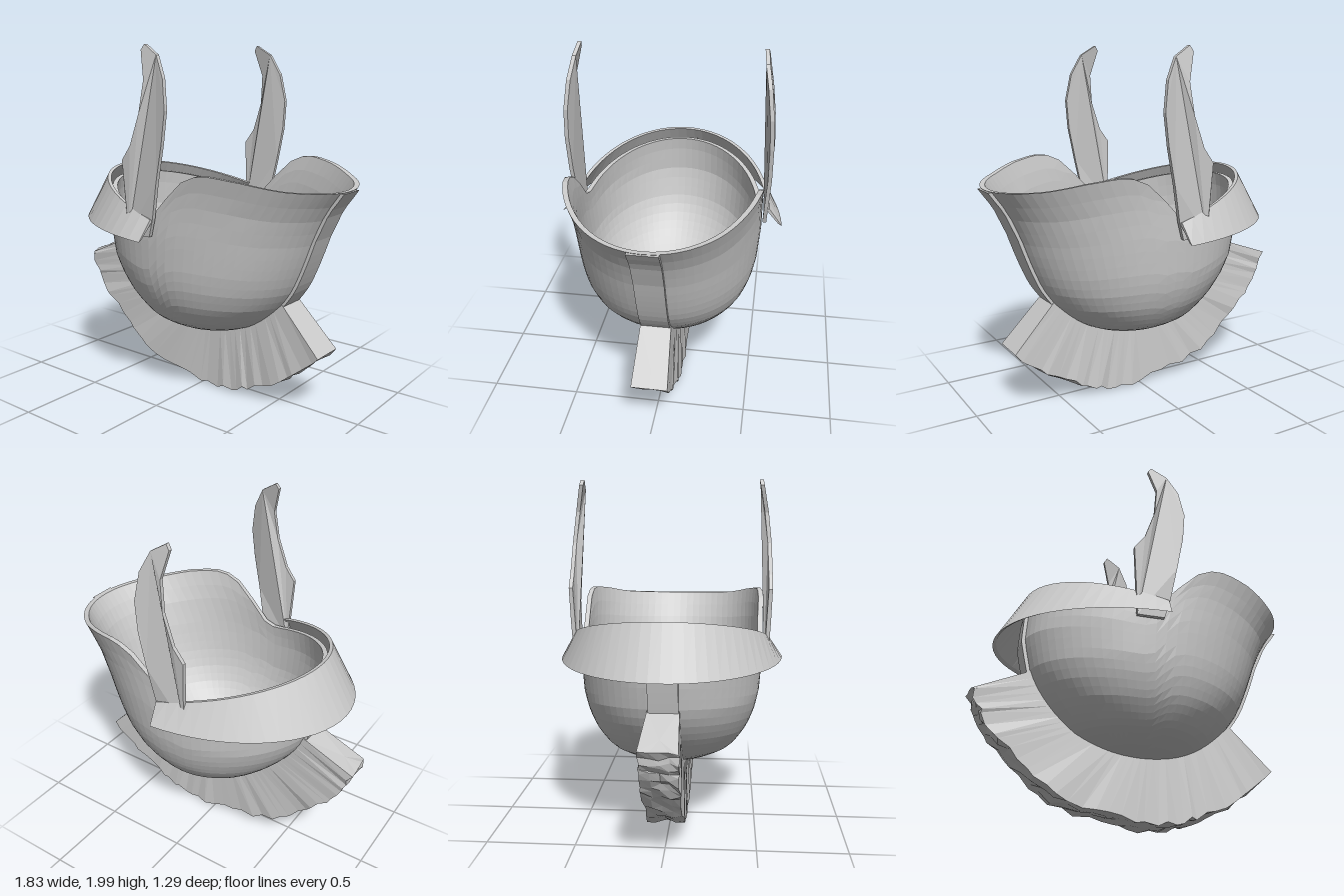
import * as THREE from 'three';

// Piecewise-linear lookup in rows sorted by their first value
function lookup(rows, k, col = 1) {
  let i = 1;
  while (i < rows.length - 1 && k > rows[i][0]) i++;
  const a = rows[i - 1], b = rows[i];
  const f = THREE.MathUtils.clamp((k - a[0]) / (b[0] - a[0]), 0, 1);
  return a[col] + (b[col] - a[col]) * f;
}

// Grid surface from fn(i, j) => [x, y, z]
function grid(nu, nv, fn) {
  const pos = [], idx = [], row = nv + 1;
  for (let i = 0; i <= nu; i++) for (let j = 0; j <= nv; j++) pos.push(...fn(i, j));
  for (let i = 0; i < nu; i++) for (let j = 0; j < nv; j++) {
    const a = i * row + j, b = a + row;
    idx.push(a, b, b + 1, a, b + 1, a + 1);
  }
  const g = new THREE.BufferGeometry();
  g.setAttribute('position', new THREE.Float32BufferAttribute(pos, 3));
  g.setIndex(idx);
  g.computeVertexNormals();
  return g;
}

// Closed sections joined along their length, ends closed by a fan to the middle
function loft(sections) {
  const mid = (s) => s.map(() => [0, 1, 2].map((k) => s.reduce((t, p) => t + p[k], 0) / s.length));
  const all = [mid(sections[0]), ...sections, mid(sections[sections.length - 1])];
  const n = sections[0].length;
  return grid(all.length - 1, n, (i, j) => all[i][j % n]);
}

const curve = (pts) => new THREE.CatmullRomCurve3(pts.map((p) => new THREE.Vector3(p[0], p[1], 0)));

// Bowl widths: height, left edge x, right edge x, half depth
const BOTTOM = 0.37, SPAN = 0.99;
const toS = (y) => Math.sqrt(Math.max(0, (y - BOTTOM) / SPAN));
const WIDTHS = [
  [0.37, 0.05, 0.05, 0], [0.39, -0.13, 0.23, 0.17], [0.43, -0.25, 0.34, 0.285],
  [0.48, -0.35, 0.42, 0.37], [0.6, -0.48, 0.555, 0.455], [0.7, -0.555, 0.625, 0.493],
  [0.8, -0.607, 0.67, 0.515], [1.0, -0.65, 0.745, 0.53], [1.15, -0.64, 0.815, 0.53],
  [1.25, -0.625, 0.89, 0.532], [1.36, -0.6, 0.96, 0.545],
].map(([y, ...r]) => [toS(y), ...r]);
// Rim height against the cosine of the angle round the bowl
const RIM = [
  [-1, 1.23], [-0.2, 1.085], [-0.1, 1.09], [-0.03, 1.17], [0.05, 1.28], [0.11, 1.33],
  [0.21, 1.355], [0.3, 1.352], [0.5, 1.33], [0.75, 1.29], [1, 1.265],
];

function bowlGeometry() {
  const nu = 72, nt = 22, wall = 0.028;
  return grid(nu, nt * 2 + 1, (i, j) => {
    const a = (i / nu) * Math.PI * 2, c = Math.cos(a);
    const inner = j > nt;
    const t = (inner ? nt * 2 + 1 - j : j) / nt;
    const y = BOTTOM + (lookup(RIM, c) - BOTTOM) * t * t;
    const s = toS(y), d = inner ? wall : 0;
    const l = lookup(WIDTHS, s, 1), r = lookup(WIDTHS, s, 2);
    const rx = Math.max(0, (r - l) / 2 - d), rz = Math.max(0, lookup(WIDTHS, s, 3) - d);
    return [(l + r) / 2 + rx * c, y + d * (1 - t), -rz * Math.sin(a)];
  });
}

// Raised centre strip on one end of the bowl
function stripGeometry(col, dir, y0, y1) {
  const n = 16, sections = [];
  for (let i = 0; i <= n; i++) {
    const y = y0 + ((y1 - y0) * i) / n;
    const x = lookup(WIDTHS, toS(y), col);
    const o = x + dir * 0.012, k = x - dir * 0.02, w = 0.08 * dir;
    sections.push([[o, y, w], [k, y, w], [k, y, -w], [o, y, -w]].reverse());
  }
  return loft(sections);
}

// Sloping band round the low half of the rim
function brimGeometry() {
  const n = 32, start = 1.648, sections = [];
  for (let i = 0; i <= n; i++) {
    const a = start + ((Math.PI * 2 - 2 * start) * i) / n;
    const c = Math.cos(a), s = -Math.sin(a), f = (-c - 0.077) / 0.923;
    const yLow = 0.99 + 0.02 * f, yTop = 1.1 + 0.19 * f, d = 0.02;
    sections.push([
      [0.1 + 0.91 * c, yLow, 0.648 * s],
      [0.1 + 0.75 * c, yTop, 0.572 * s],
      [0.1 + (0.75 - d) * c, yTop - 0.004, (0.572 - d) * s],
      [0.1 + (0.91 - d) * c, yLow + 0.012, (0.648 - d) * s],
    ]);
  }
  return loft(sections);
}

// Thick crest below the bowl with a ragged outer edge
function crestGeometry() {
  let seed = 7;
  const noise = () => ((seed = (seed * 16807) % 2147483647) / 2147483647) * 2 - 1;
  const inner = curve([[-0.595, 0.82], [-0.47, 0.62], [-0.34, 0.492], [-0.13, 0.405],
    [0.05, 0.385], [0.23, 0.405], [0.41, 0.495], [0.56, 0.61]]);
  const outer = curve([[-0.91, 0.69], [-0.85, 0.55], [-0.7, 0.36], [-0.46, 0.16], [-0.15, 0.055],
    [0.15, 0.025], [0.35, 0.07], [0.58, 0.18], [0.8, 0.36]]);
  const n = 36, sections = [];
  for (let i = 0; i <= n; i++) {
    const p = inner.getPoint(i / n), q = outer.getPoint(i / n);
    const amp = i === n ? 0 : 0.015;
    const edge = [-1, -0.5, 0, 0.5, 1].map((k) =>
      [q.x + noise() * amp, q.y + noise() * amp, k * 0.1 + noise() * amp * 0.5]);
    sections.push([[p.x, p.y, -0.085], ...edge, [p.x, p.y, 0.085]]);
  }
  return loft(sections);
}

// Curved upright flap at one side
function flapGeometry(side) {
  const outline = [[-0.13, 1.0], [0.02, 1.0], [0.05, 1.1], [0.09, 1.3], [0.13, 1.5], [0.147, 1.67],
    [0.12, 1.83], [0.06, 1.945], [-0.03, 2.0], [-0.05, 1.97], [-0.01, 1.82], [-0.03, 1.65],
    [-0.09, 1.48], [-0.15, 1.4], [-0.14, 1.2]];
  const bend = [[1, 0.545], [1.1, 0.55], [1.3, 0.562], [1.5, 0.563], [1.67, 0.555], [1.83, 0.536], [2, 0.503]];
  const shape = new THREE.Shape(outline.map((p) => new THREE.Vector2(...p)));
  const g = new THREE.ExtrudeGeometry(shape, { depth: 0.022, bevelEnabled: false });
  const p = g.attributes.position;
  for (let i = 0; i < p.count; i++) {
    p.setZ(i, p.getZ(i) - 0.011 + side * lookup(bend, p.getY(i)));
  }
  g.computeVertexNormals();
  return g;
}

export function createModel() {
  const model = new THREE.Group();
  model.name = 'helmet';
  const material = new THREE.MeshStandardMaterial({
    color: 0xcccccc, flatShading: true, side: THREE.DoubleSide,
  });
  const add = (name, geometry) => {
    const mesh = new THREE.Mesh(geometry, material);
    mesh.name = name;
    model.add(mesh);
  };
  add('bowl', bowlGeometry());
  add('neckStrip', stripGeometry(2, 1, 0.55, 1.262));
  add('browStrip', stripGeometry(1, -1, 0.7, 1.22));
  add('brim', brimGeometry());
  add('crest', crestGeometry());
  add('leftCheekFlap', flapGeometry(1));
  add('rightCheekFlap', flapGeometry(-1));
  // Settle the model on the ground
  model.position.y = -new THREE.Box3().setFromObject(model).min.y;
  return model;
}
